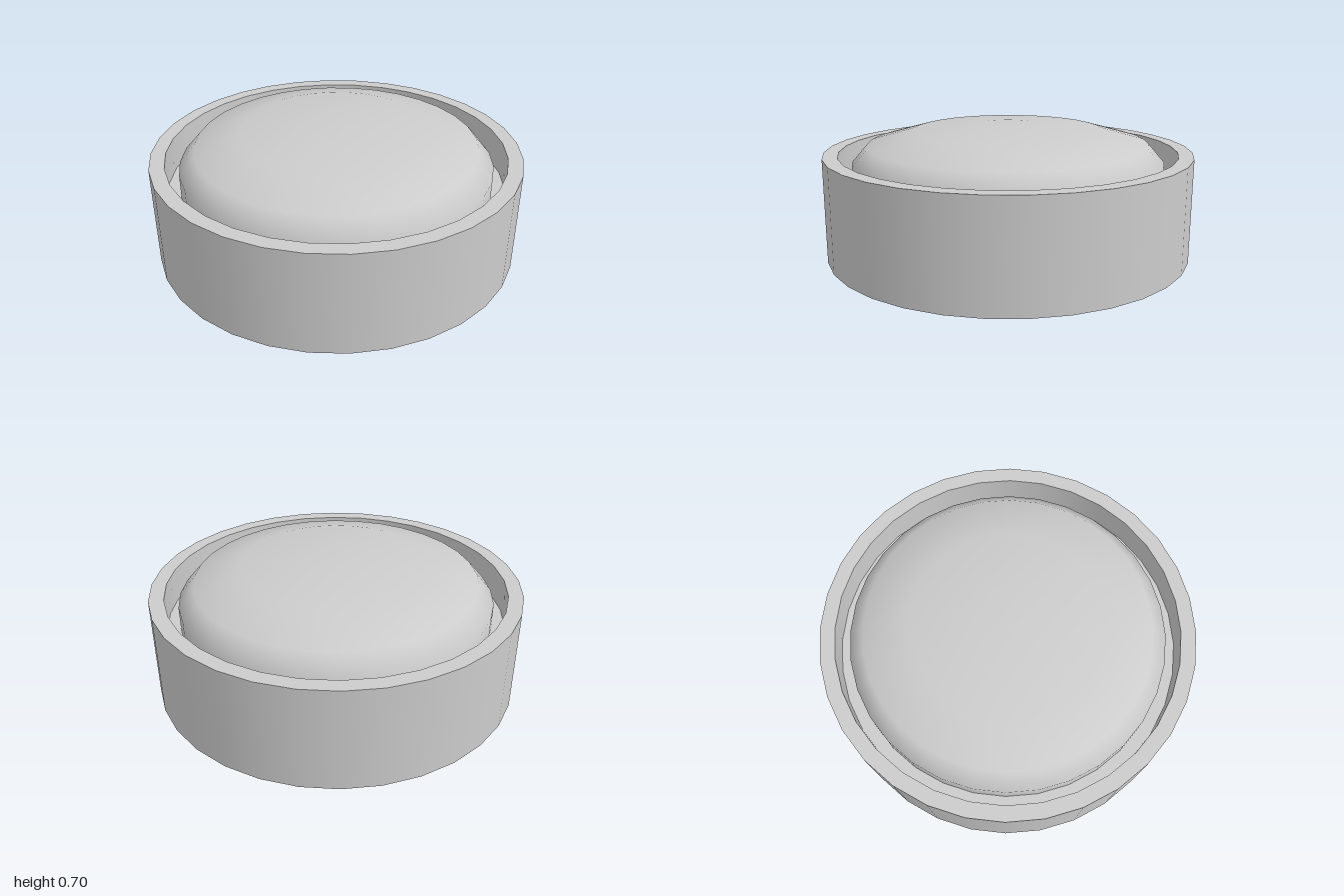
import * as THREE from 'three';
import { mergeGeometries } from 'three/addons/utils/BufferGeometryUtils.js';

const SIDES = 32;
const material = new THREE.MeshStandardMaterial({ color: 0xcccccc });

const lathe = (pairs) =>
  new THREE.LatheGeometry(pairs.map(([r, y]) => new THREE.Vector2(r, y)), SIDES);

// One lathe per straight profile segment keeps the corners sharp
const sharpLathe = (pairs) =>
  mergeGeometries(pairs.slice(1).map((p, i) => lathe([pairs[i], p])));

function addPart(group, name, geometry) {
  const mesh = new THREE.Mesh(geometry, material);
  mesh.name = name;
  group.add(mesh);
}

export function createModel() {
  const group = new THREE.Group();
  group.name = 'domedRoundTray';

  // Round cup with a thin rim and a recessed floor
  addPart(group, 'cup', sharpLathe([
    [0, 0], [1, 0], [1, 0.56], [0.92, 0.56], [0.92, 0.375], [0, 0.375],
  ]));

  // Smooth domed cushion standing on the floor
  addPart(group, 'dome', lathe([
    [0.85, 0.375], [0.85, 0.505], [0.765, 0.603], [0.52, 0.673], [0.18, 0.696], [0, 0.697],
  ]));

  return group;
}
